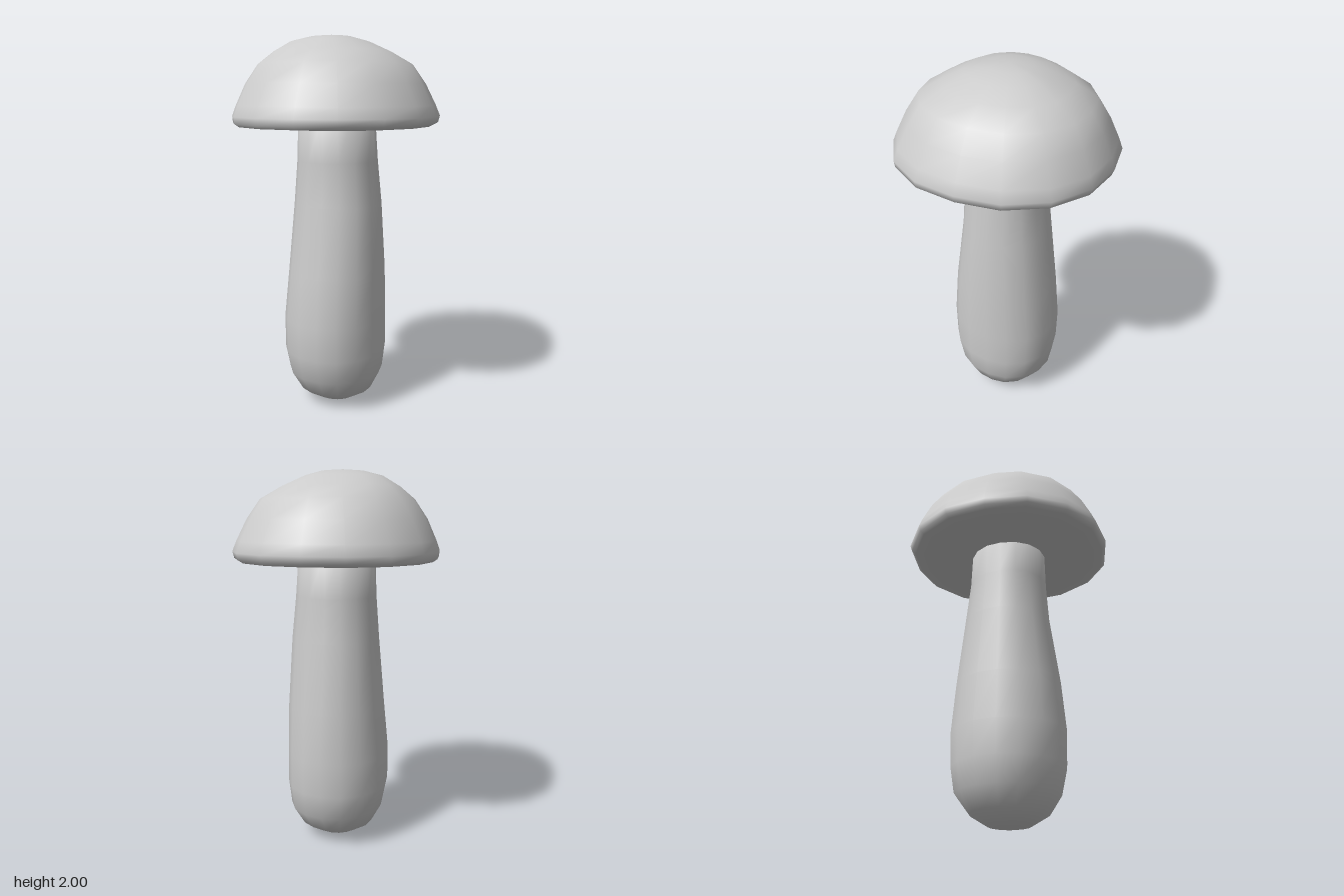
import * as THREE from 'three';

const SIDES = 16;

// Skin closed cross-sections, bottom to top. Each ring: [y, +x, -x, +z, -z] radii.
// fullness > 1 pushes the diagonals out to a slightly squared circle.
function skin(rings, bottomY, topY, topX, fullness) {
  const pos = [0, bottomY, 0];
  const index = [];
  for (const [y, right, left, front, back] of rings) {
    for (let i = 0; i < SIDES; i++) {
      const a = (i / SIDES) * Math.PI * 2;
      const s = Math.sin(a), c = Math.cos(a);
      const k = 1 + (fullness - 1) * Math.abs(Math.sin(2 * a));
      pos.push(s * k * (s > 0 ? right : left), y, c * k * (c > 0 ? front : back));
    }
  }
  const top = pos.length / 3;
  pos.push(topX, topY, 0);
  for (let i = 0; i < SIDES; i++) {
    const j = (i + 1) % SIDES;
    index.push(0, 1 + j, 1 + i);
    for (let r = 0; r < rings.length - 1; r++) {
      const a = 1 + r * SIDES, b = a + SIDES;
      index.push(a + i, a + j, b + j, a + i, b + j, b + i);
    }
    const last = 1 + (rings.length - 1) * SIDES;
    index.push(last + i, last + j, top);
  }
  const geometry = new THREE.BufferGeometry();
  geometry.setAttribute('position', new THREE.Float32BufferAttribute(pos, 3));
  geometry.setIndex(index);
  geometry.computeVertexNormals();
  return geometry;
}

export function createModel() {
  const group = new THREE.Group();
  group.name = 'mushroom';
  const material = new THREE.MeshStandardMaterial({ color: 0xcccccc });
  const add = (name, geometry) => {
    const mesh = new THREE.Mesh(geometry, material);
    mesh.name = name;
    group.add(mesh);
  };

  // Stem: rounded foot, swollen base, narrowing up into the cap
  add('stem', skin([
    [0.025, 0.11, 0.11, 0.11, 0.11],
    [0.08, 0.20, 0.20, 0.20, 0.20],
    [0.18, 0.25, 0.255, 0.265, 0.275],
    [0.31, 0.265, 0.28, 0.295, 0.295],
    [0.49, 0.262, 0.28, 0.30, 0.30],
    [0.75, 0.26, 0.255, 0.277, 0.28],
    [1.12, 0.24, 0.225, 0.225, 0.24],
    [1.35, 0.218, 0.208, 0.21, 0.215],
    [1.60, 0.20, 0.20, 0.205, 0.205],
  ], 0.005, 1.62, 0, 1.02));

  // Cap: flat underside, rolled rim, slightly lopsided dome
  add('cap', skin([
    [1.53, 0.24, 0.24, 0.25, 0.25],
    [1.53, 0.44, 0.45, 0.46, 0.46],
    [1.535, 0.50, 0.51, 0.535, 0.53],
    [1.55, 0.527, 0.533, 0.557, 0.55],
    [1.585, 0.535, 0.537, 0.56, 0.563],
    [1.64, 0.512, 0.517, 0.537, 0.543],
    [1.75, 0.457, 0.468, 0.484, 0.493],
    [1.85, 0.387, 0.40, 0.42, 0.43],
    [1.915, 0.275, 0.325, 0.31, 0.32],
    [1.965, 0.165, 0.243, 0.21, 0.21],
    [1.99, 0.075, 0.145, 0.11, 0.12],
  ], 1.53, 2.0, -0.03, 1.03));

  return group;
}
